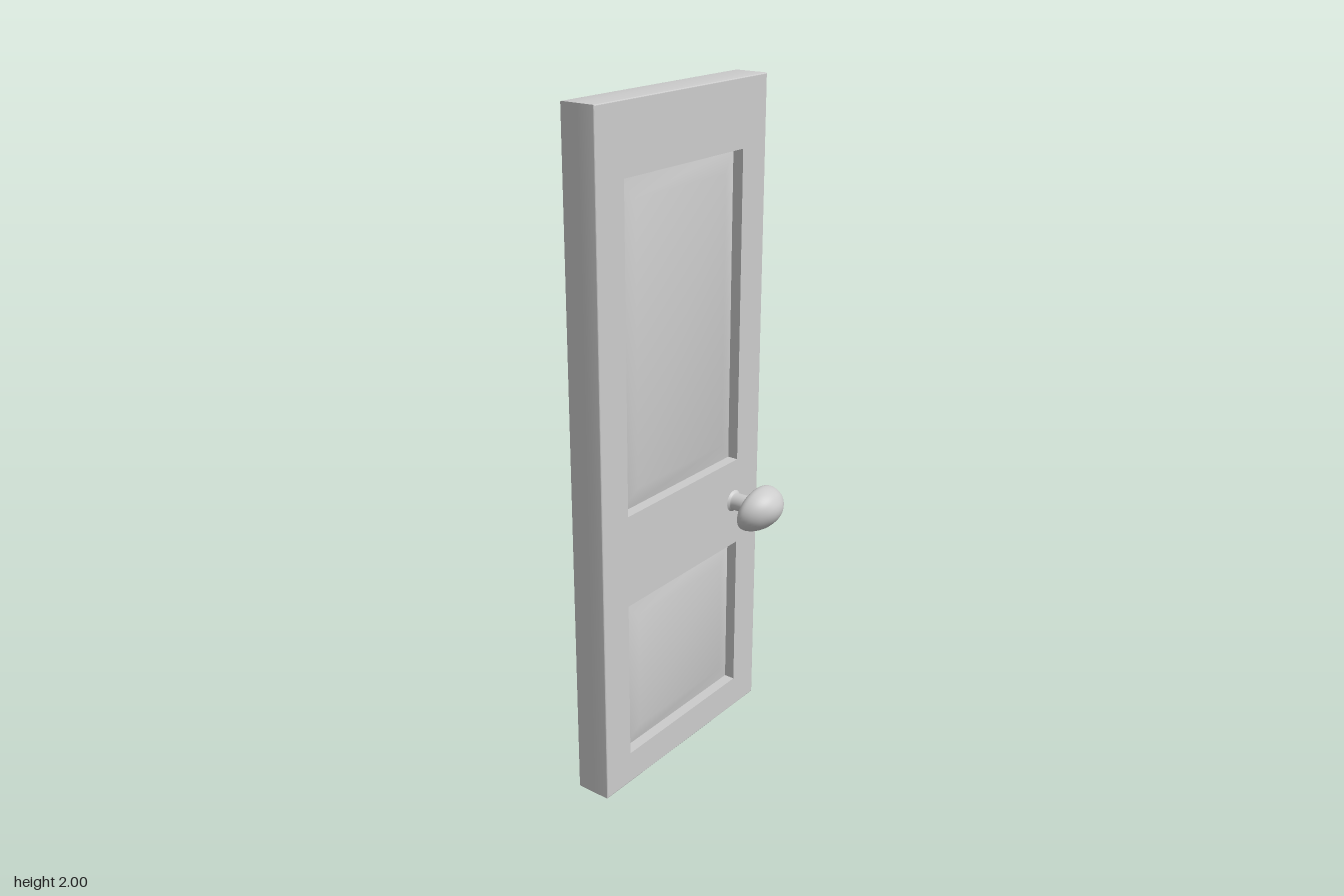
import * as THREE from 'three';
import { toCreasedNormals } from 'three/addons/utils/BufferGeometryUtils.js';

const H = 2, HALF_W = 0.37, HALF_T = 0.056;
const KNOB_Y = 0.738, KNOB_Z = -0.245;
// [half width, bottom, top] of the two recesses
const PANELS = [[0.26, 0.87, 1.805], [0.263, 0.1, 0.592]];
const material = new THREE.MeshStandardMaterial({ color: 0xcccccc });

// Joins rectangles, each inset from [halfWidth, bottom, top] and set at a depth w
function loftRects([hw, y0, y1], steps, capped) {
  const pos = [];
  const rings = steps.map(([inset, w]) => {
    const a = hw - inset, b = y0 + inset, t = y1 - inset;
    return [[-a, b, w], [a, b, w], [a, t, w], [-a, t, w]];
  });
  const quad = (a, b, c, d) => pos.push(...a, ...b, ...c, ...a, ...c, ...d);
  for (let r = 0; r + 1 < rings.length; r++) {
    for (let i = 0; i < 4; i++) {
      const j = (i + 1) % 4;
      quad(rings[r][i], rings[r][j], rings[r + 1][j], rings[r + 1][i]);
    }
  }
  if (capped) quad(...rings[rings.length - 1]);
  const g = new THREE.BufferGeometry();
  g.setAttribute('position', new THREE.Float32BufferAttribute(pos, 3));
  return toCreasedNormals(g, 0.6);
}

function rectPath(PathType, hw, y0, y1) {
  const p = new PathType();
  p.moveTo(-hw, y0);
  p.lineTo(hw, y0);
  p.lineTo(hw, y1);
  p.lineTo(-hw, y1);
  p.closePath();
  return p;
}

function addMesh(parent, geometry, name) {
  const mesh = new THREE.Mesh(geometry, material);
  mesh.name = name;
  parent.add(mesh);
  return mesh;
}

// One half of the door leaf, its face toward +z; edge = rounding, lip = rounded recess border
function doorHalf(name, edge, lip) {
  const half = new THREE.Group();
  half.name = name;
  const arc = [0, 1, 2, 3, 4].map((i) => (i / 4) * Math.PI / 2);

  // Outer edges with a small round toward the face
  const sides = [[0, 0], ...arc.map((a) => [edge * (1 - Math.cos(a)), HALF_T - edge * (1 - Math.sin(a))])];
  addMesh(half, loftRects([HALF_W, 0, H], sides, false), 'doorEdges');

  // Stiles and rails: the flat face pierced by the two recesses
  const face = rectPath(THREE.Shape, HALF_W - edge, edge, H - edge);
  for (const [hw, y0, y1] of PANELS) {
    face.holes.push(rectPath(THREE.Path, hw + lip, y0 - lip, y1 + lip));
  }
  addMesh(half, new THREE.ShapeGeometry(face).translate(0, 0, HALF_T), 'stilesAndRails');

  // Recess walls, sloping border and raised field
  for (const panel of PANELS) {
    const border = lip
      ? arc.map((a) => [-lip * (1 - Math.sin(a)), HALF_T - lip * (1 - Math.cos(a))])
      : [[0, HALF_T]];
    const steps = [...border, [0, HALF_T - 0.033], [0.062, HALF_T - 0.014]];
    addMesh(half, loftRects(panel, steps, true), 'raisedPanel');
  }
  return half;
}

// Turns a profile of [radius, distance from door centre] into a smooth body along +z
function lathe(points, samples) {
  const curve = new THREE.SplineCurve(points.map(([r, h]) => new THREE.Vector2(r, h)));
  const profile = curve.getPoints(samples).map((p) => new THREE.Vector2(Math.max(p.x, 0), p.y));
  return new THREE.LatheGeometry(profile, 40).rotateX(Math.PI / 2);
}

// Oval knob on a round shank; slant leans the top of the knob outward
function doorKnob(name, profile, slant) {
  const knob = new THREE.Group();
  knob.name = name;
  addMesh(knob, lathe([[0.036, 0.054], [0.03, 0.06], [0.027, 0.068], [0.027, 0.1], [0.027, 0.14]], 24), 'shank');
  const head = lathe(profile, 36).scale(1, 0.8, 1);
  const p = head.attributes.position;
  for (let i = 0; i < p.count; i++) p.setZ(i, p.getZ(i) + slant * p.getY(i));
  head.computeVertexNormals();
  addMesh(knob, head, 'knobHead');
  return knob;
}

export function createModel() {
  const door = new THREE.Group();
  door.name = 'door';

  const leftHalf = doorHalf('leftFace', 0.003, 0);
  leftHalf.rotation.y = Math.PI / 2;
  const rightHalf = doorHalf('rightFace', 0.008, 0.022);
  rightHalf.rotation.y = -Math.PI / 2;

  // Flat-backed, slanted knob
  const leftKnob = doorKnob('leftKnob', [[0, 0.118], [0.04, 0.119], [0.07, 0.123], [0.085, 0.131],
    [0.09, 0.146], [0.083, 0.17], [0.066, 0.193], [0.04, 0.211], [0.018, 0.219], [0, 0.221]], 0.2);
  leftKnob.rotation.y = Math.PI / 2;
  leftKnob.position.set(0, KNOB_Y, KNOB_Z);

  // Knob with a flared neck
  const rightKnob = doorKnob('rightKnob', [[0.026, 0.105], [0.032, 0.114], [0.05, 0.123], [0.075, 0.136],
    [0.089, 0.154], [0.086, 0.174], [0.068, 0.199], [0.042, 0.215], [0.018, 0.221], [0, 0.222]], 0);
  rightKnob.rotation.y = -Math.PI / 2;
  rightKnob.position.set(0, KNOB_Y, KNOB_Z);

  door.add(leftHalf, rightHalf, leftKnob, rightKnob);
  return door;
}
